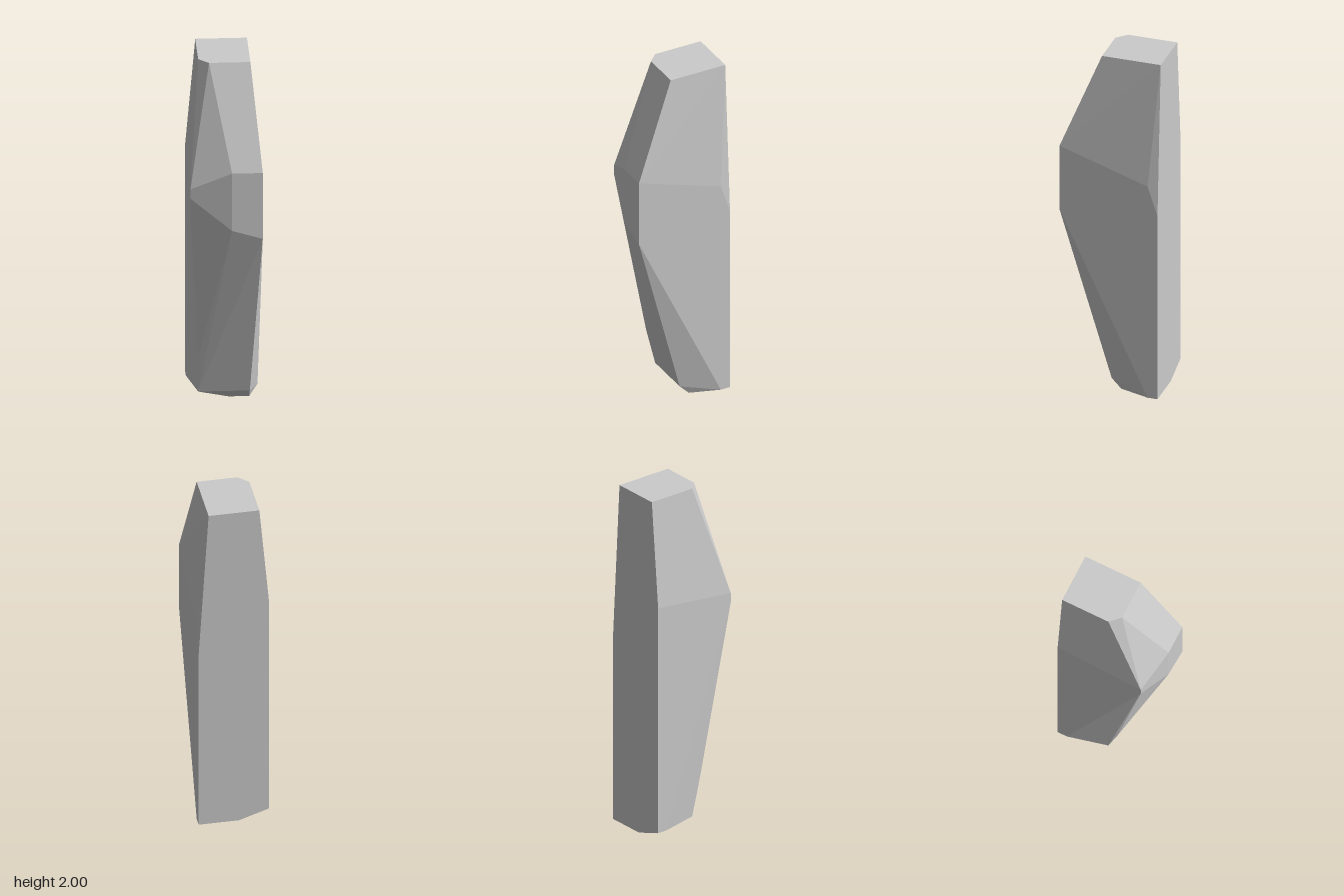
import * as THREE from 'three';
import { ConvexGeometry } from 'three/addons/geometries/ConvexGeometry.js';

// Tall faceted stone shard: the convex hull of a few corner rings.
export function createModel() {
  const w = 0.193, d = 0.278; // half width and half depth
  const corners = [
    // flat top with one clipped front corner
    [-0.139, 2, -d], [0.139, 2, -d], [0.139, 2, 0.055], [-0.084, 2, 0.055], [-0.139, 2, 0],
    // upper shoulder
    [w, 1.445, d], [0.028, 1.445, d], [-w, 1.335, 0.222], [-w, 1.39, -d], [w, 1.28, -0.222],
    // lower shoulder
    [w, 1.06, d], [0.028, 1.11, d], [-w, 1.28, 0.222], [w, 1.11, -d],
    // bevel ring above the foot
    [-0.139, 0.28, 0.055], [-0.139, 0.056, 0], [0.139, 0.056, 0],
    [-w, 0.056, -0.222], [-w, 0.056, -d],
    // foot
    [w, 0, -d], [w, 0, -0.222], [0.139, 0, -0.055], [0.028, 0, -0.055],
    [-0.028, 0, -0.111], [-0.028, 0, -d],
  ];
  const geometry = new ConvexGeometry(corners.map((p) => new THREE.Vector3(...p)));
  const material = new THREE.MeshStandardMaterial({ color: 0xcccccc, flatShading: true });
  const shard = new THREE.Mesh(geometry, material);
  shard.name = 'stoneShard';

  const group = new THREE.Group();
  group.name = 'standingStone';
  group.add(shard);
  return group;
}
